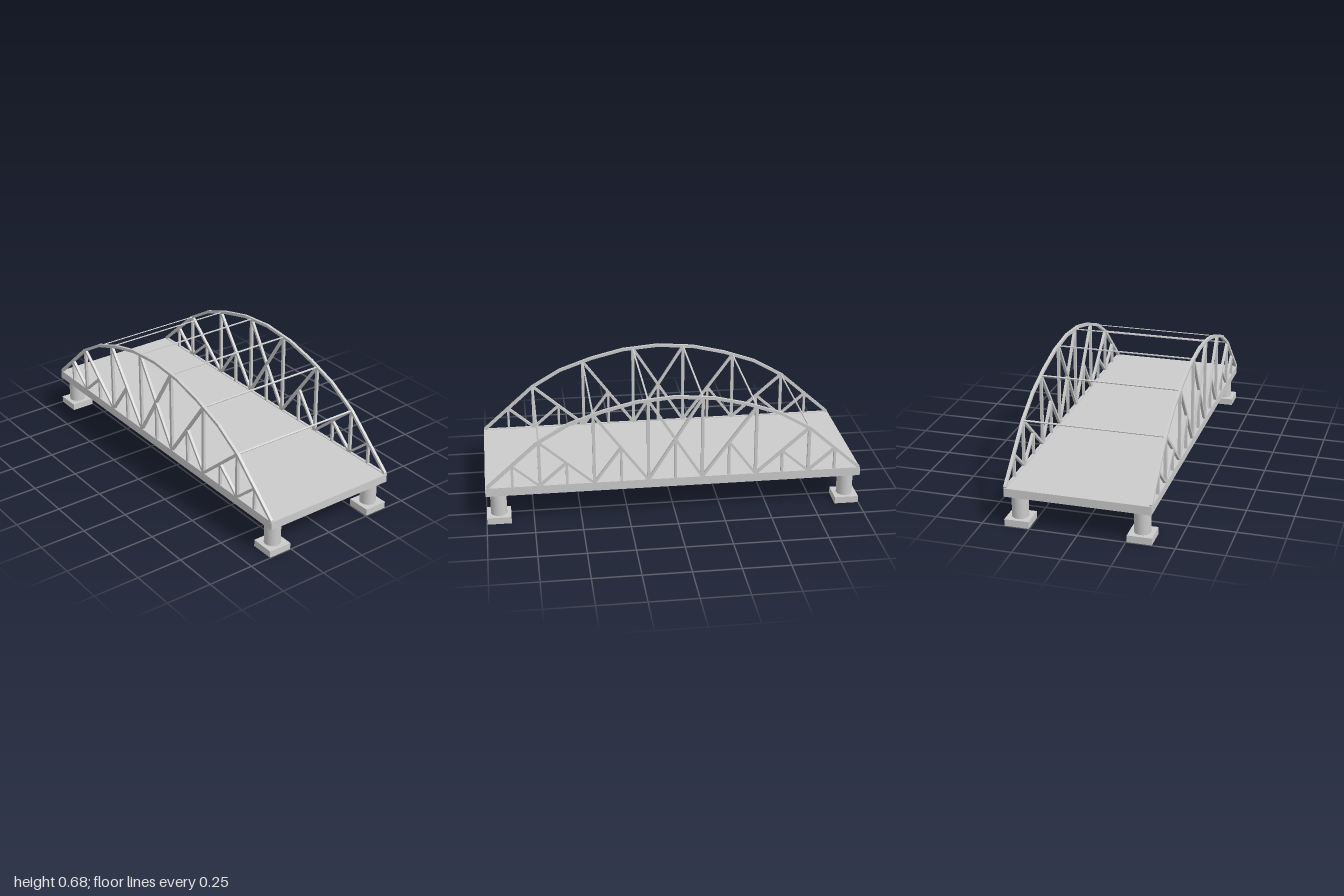
import * as THREE from 'three';

const mat = new THREE.MeshStandardMaterial({ color: 0xcccccc, flatShading: true });
const smooth = new THREE.MeshStandardMaterial({ color: 0xcccccc });

const DECK_BOTTOM = 0.163, DECK_TOP = 0.208;
const TRUSS_Z = 0.374, TRUSS_D = 0.0155;
const PIER_X = 0.934, PIER_Z = 0.318, PIER_R = 0.043;
const PANEL = 2 / 7;

// Centre line of the right half of the arch, from crown to foot
const ARCH = [[0, 0.673], [0.2, 0.656], [0.38, 0.612], [0.556, 0.55], [0.717, 0.456], [0.992, 0.211]];

function add(parent, name, geometry, x = 0, y = 0, z = 0, material = mat) {
  const mesh = new THREE.Mesh(geometry, material);
  mesh.name = name;
  mesh.position.set(x, y, z);
  parent.add(mesh);
  return mesh;
}

// Straight member between two points in the plane of the truss
function bar(parent, name, [x1, y1], [x2, y2], width) {
  const length = Math.hypot(x2 - x1, y2 - y1);
  const mesh = add(parent, name, new THREE.BoxGeometry(length, width, TRUSS_D - 0.001), (x1 + x2) / 2, (y1 + y2) / 2);
  mesh.rotation.z = Math.atan2(y2 - y1, x2 - x1);
}

// Height and slope of the arch at a given distance from the middle
function archAt(x) {
  let i = 1;
  while (i < ARCH.length - 1 && ARCH[i][0] < x) i++;
  const [x0, y0] = ARCH[i - 1], [x1, y1] = ARCH[i];
  const slope = (y1 - y0) / (x1 - x0);
  return { y: y0 + slope * (x - x0), angle: Math.atan(slope) };
}

function archGeometry() {
  const left = ARCH.slice(1).reverse().map(([x, y]) => [-x, y]);
  const line = [...left, ...ARCH].map(p => new THREE.Vector2(...p));
  const offset = h => line.map((p, i) => {
    const a = line[Math.max(i - 1, 0)], b = line[Math.min(i + 1, line.length - 1)];
    const t = b.clone().sub(a).normalize();
    return new THREE.Vector2(p.x - t.y * h, p.y + t.x * h);
  });
  const shape = new THREE.Shape([...offset(0.008), ...offset(-0.008).reverse()]);
  return new THREE.ExtrudeGeometry(shape, { depth: TRUSS_D, bevelEnabled: false }).translate(0, 0, -TRUSS_D / 2);
}

function makeTruss() {
  const truss = new THREE.Group();
  truss.name = 'sideTruss';
  add(truss, 'arch', archGeometry());
  add(truss, 'bottomChord', new THREE.BoxGeometry(1.99, 0.012, TRUSS_D), 0, 0.205, 0);

  const base = DECK_TOP;
  for (const s of [-1, 1]) {
    // Main posts under the arch, with a diagonal running inward from each
    for (let k = 0; k < 3; k++) {
      const x = PANEL * (k + 0.5), foot = x - PANEL;
      const top = archAt(x).y;
      bar(truss, 'mainPost', [s * x, base], [s * x, top], 0.016);
      bar(truss, 'diagonal', [s * x, top], [s * foot, base], 0.014);
    }
    // Short posts and struts at the middle of each panel
    for (let k = 1; k < 4; k++) {
      const x = PANEL * k;
      const y = k === 3 ? archAt(x).y : (base + archAt(x + PANEL / 2).y) / 2;
      const top = k === 3 ? y : (base + archAt(x + PANEL / 2 - (k < 3 ? 0 : PANEL)).y) / 2;
      const foot = k === 3 ? x - PANEL / 2 : x + PANEL / 2;
      bar(truss, 'shortPost', [s * x, base], [s * x, top], 0.013);
      bar(truss, 'strut', [s * x, top], [s * foot, base], 0.013);
    }
  }
  bar(truss, 'middlePost', [0, base], [0, (base + archAt(PANEL / 2).y) / 2], 0.014);
  return truss;
}

export function createModel() {
  const bridge = new THREE.Group();
  bridge.name = 'archBridge';

  // Deck: solid plate over a layer with round sockets in its underside
  const socketDepth = 0.025;
  const outline = new THREE.Shape([[-1, -0.38], [1, -0.38], [1, 0.38], [-1, 0.38]].map(p => new THREE.Vector2(...p)));
  for (let i = -2; i <= 2; i++) {
    for (const s of [-1, 1]) {
      const hole = new THREE.Path();
      hole.absarc(i * PIER_X / 3, s * PIER_Z, PIER_R, 0, Math.PI * 2, true);
      outline.holes.push(hole);
    }
  }
  const lower = new THREE.ExtrudeGeometry(outline, { depth: socketDepth, bevelEnabled: false, curveSegments: 32 });
  lower.rotateX(-Math.PI / 2);
  add(bridge, 'deckUnderside', lower, 0, DECK_BOTTOM, 0);
  const plate = DECK_TOP - DECK_BOTTOM - socketDepth;
  add(bridge, 'deckPlate', new THREE.BoxGeometry(2, plate, 0.76), 0, DECK_TOP - plate / 2, 0);

  // Two arched trusses
  for (const s of [-1, 1]) {
    const truss = makeTruss();
    truss.position.z = s * TRUSS_Z;
    bridge.add(truss);
  }

  // Thin cross braces between the arches, tilted with the arch
  for (let k = 0; k < 3; k++) {
    const x = PANEL * (k + 0.5), { y, angle } = archAt(x);
    for (const s of [-1, 1]) {
      const brace = add(bridge, 'crossBrace', new THREE.BoxGeometry(0.009, 0.005, TRUSS_Z * 2), s * x, y, 0);
      brace.rotation.z = s * angle;
    }
  }

  // Corner piers on square footings
  for (const sx of [-1, 1]) {
    for (const sz of [-1, 1]) {
      const pier = new THREE.Group();
      pier.name = 'pier';
      pier.position.set(sx * PIER_X, 0, sz * PIER_Z);
      add(pier, 'column', new THREE.CylinderGeometry(PIER_R, PIER_R, 0.13, 32), 0, 0.1, 0, smooth);
      add(pier, 'footing', new THREE.BoxGeometry(0.128, 0.037, 0.128), 0, 0.0185, 0);
      bridge.add(pier);
    }
  }
  return bridge;
}
